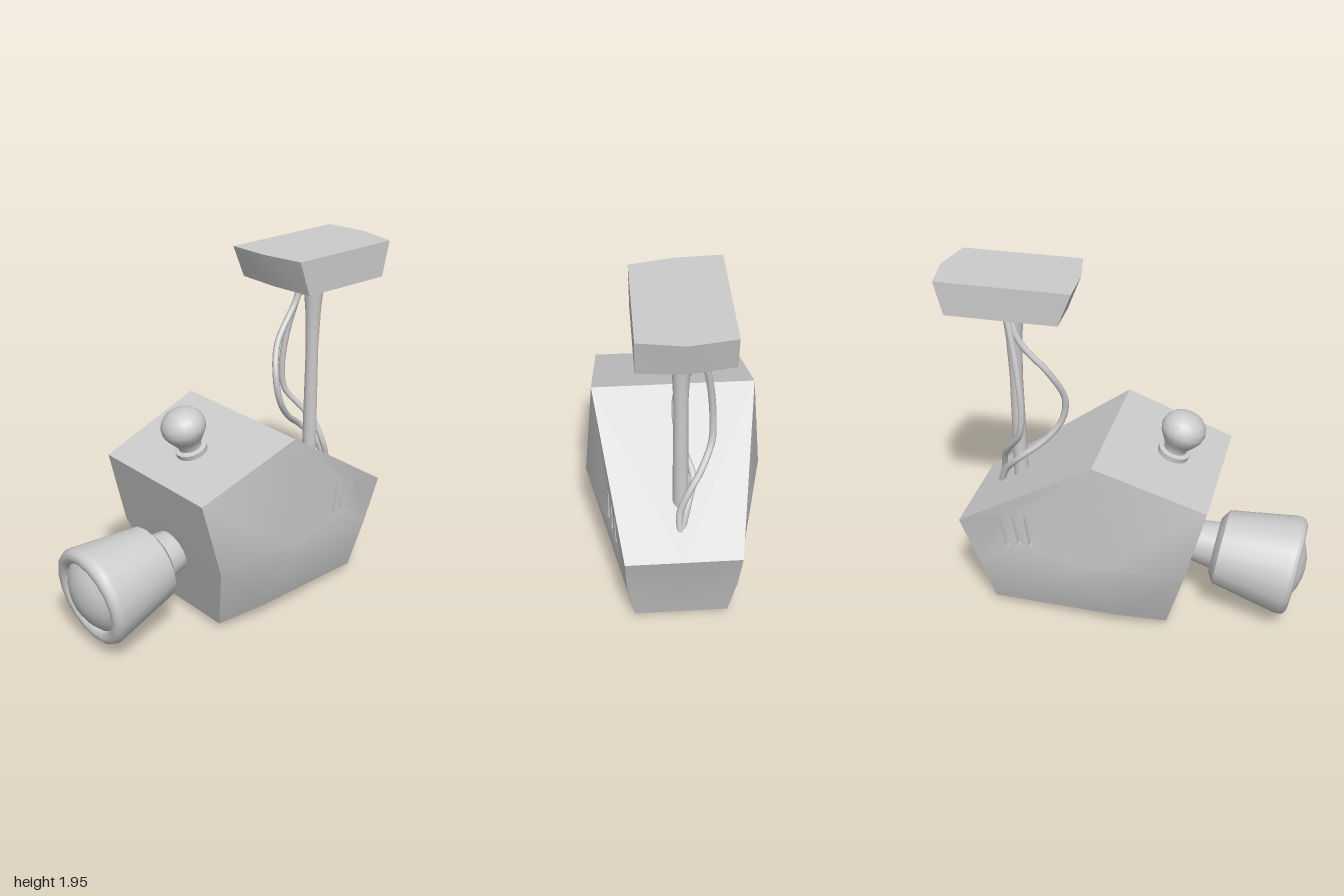
import * as THREE from 'three';
import { toCreasedNormals } from 'three/addons/utils/BufferGeometryUtils.js';

const V = (x, y, z) => new THREE.Vector3(x, y, z);
const material = new THREE.MeshStandardMaterial({ color: 0xcccccc });

function part(parent, name, geometry) {
  const mesh = new THREE.Mesh(geometry, material);
  mesh.name = name;
  parent.add(mesh);
  return mesh;
}

// Corners run anticlockwise seen from outside
function quad(out, a, b, c, d) {
  for (const p of [a, b, c, a, c, d]) out.push(p.x, p.y, p.z);
}

function solid(positions, crease) {
  const g = new THREE.BufferGeometry();
  g.setAttribute('position', new THREE.Float32BufferAttribute(positions, 3));
  return toCreasedNormals(g, crease);
}

function lathe(profile, segments) {
  const pts = profile.map(([r, y]) => new THREE.Vector2(r, y));
  return toCreasedNormals(new THREE.LatheGeometry(pts, segments), 0.7);
}

// Left half of the faceted body, with three vent slots cut in the rear side panel
function halfBody() {
  const out = [];
  // stations front, middle, back; each top, waist, bottom
  const [F, M, B] = [
    [V(0.405, 0.88, 0.5), V(0.42, 0.455, 0.39), V(0.26, 0.03, 0.27)],
    [V(0.435, 1.09, -0.1), V(0.485, 0.49, -0.05), V(0.32, 0.07, 0)],
    [V(0.3, 0.56, -0.9), V(0.29, 0.31, -0.81), V(0.25, 0.03, -0.73)],
  ];
  quad(out, F[0], F[1], M[1], M[0]);
  quad(out, F[1], F[2], M[2], M[1]);
  quad(out, M[1], M[2], B[2], B[1]);

  // front, underside, back and top, out from the centre line
  const rim = [F[0], F[1], F[2], M[2], B[2], B[1], B[0], M[0]];
  rim.forEach((p, i) => {
    const q = rim[(i + 1) % rim.length];
    quad(out, V(0, p.y, p.z), V(0, q.y, q.z), q, p);
  });

  // x on the warped rear panel for a given z and y
  const [a, b, c, d] = [M[0], M[1], B[1], B[0]];
  const n = new THREE.Plane().setFromCoplanarPoints(a, b, d);
  const flat = (z, y) => -(n.constant + n.normal.y * y + n.normal.z * z) / n.normal.x;
  const line = (p, q, z, y) => (q.z - p.z) * (y - p.y) - (q.y - p.y) * (z - p.z);
  const warp = (z, y) => line(a, b, z, y) * line(a, d, z, y);
  const lift = (z, y) => flat(z, y) + (c.x - flat(c.z, c.y)) * warp(z, y) / warp(c.z, c.y);

  const shape = new THREE.Shape([a, b, c, d].map((p) => new THREE.Vector2(-p.z, p.y)));
  // each slot: top z, top y, bottom z, bottom y
  const slots = [[-0.492, 0.69, -0.467, 0.5], [-0.564, 0.67, -0.536, 0.49], [-0.64, 0.645, -0.61, 0.455]];
  for (const [tz, ty, bz, by] of slots) {
    const w = 0.013;
    const ring = [[tz + w, ty + 0.005], [bz + w, by + 0.005], [bz - w, by - 0.005], [tz - w, ty - 0.005]];
    shape.holes.push(new THREE.Path(ring.map(([z, y]) => new THREE.Vector2(-z, y))));
    const outer = ring.map(([z, y]) => V(lift(z, y), y, z));
    const inner = outer.map((p) => V(p.x - 0.03, p.y, p.z));
    outer.forEach((p, i) => {
      const j = (i + 1) % 4;
      quad(out, p, outer[j], inner[j], inner[i]);
    });
    quad(out, ...inner);
  }
  const panel = new THREE.ShapeGeometry(shape).toNonIndexed().attributes.position;
  for (let i = 0; i < panel.count; i++) {
    const z = -panel.getX(i), y = panel.getY(i);
    out.push(lift(z, y), y, z);
  }
  return solid(out, 0.6);
}

// Tapered ceiling plate with a shallow point at the back
function mountPlate() {
  const out = [];
  const xs = [-0.23, 0, 0.23];
  const row = (zs, ys) => zs.map((z, i) => V(xs[i], ys[i], z));
  const top = [1.95, 1.95, 1.95], low = [1.77, 1.765, 1.757];
  const tf = row([-0.24, -0.25, -0.3], top), tb = row([-0.96, -1, -0.96], top);
  const bf = row([-0.315, -0.325, -0.37], low), bb = row([-0.915, -0.95, -0.915], low);
  for (let i = 0; i < 2; i++) {
    quad(out, tf[i], tf[i + 1], tb[i + 1], tb[i]);
    quad(out, bb[i], bb[i + 1], bf[i + 1], bf[i]);
    quad(out, tf[i], bf[i], bf[i + 1], tf[i + 1]);
    quad(out, tb[i + 1], bb[i + 1], bb[i], tb[i]);
  }
  quad(out, tf[2], bf[2], bb[2], tb[2]);
  quad(out, tb[0], bb[0], bf[0], tf[0]);
  return solid(out, 0.6);
}

export function createModel() {
  const model = new THREE.Group();
  model.name = 'ceilingCamera';

  // Body
  const body = halfBody();
  part(model, 'bodyLeft', body);
  part(model, 'bodyRight', body).scale.x = -1;

  // Lens, tipped slightly downward
  const lens = new THREE.Group();
  lens.name = 'lens';
  lens.position.set(0, 0.4, 0.525);
  lens.rotation.x = Math.PI / 2 + 0.16;
  model.add(lens);
  part(lens, 'lensNeck', lathe([[0.105, -0.22], [0.135, -0.03]], 16));
  part(lens, 'lensHousing', lathe([
    [0.1, -0.035], [0.155, -0.035], [0.21, 0], [0.276, 0.365], [0.278, 0.395],
    [0.268, 0.42], [0.248, 0.432], [0.222, 0.43], [0.205, 0.415], [0.2, 0.385],
  ], 18));
  part(lens, 'lensGlass', lathe([
    [0.202, 0.4], [0.16, 0.435], [0.11, 0.46], [0.055, 0.475], [0, 0.48],
  ], 18));

  // Knob standing square on the sloping top
  const knob = part(model, 'knob', lathe([
    [0.085, -0.02], [0.088, 0.03], [0.064, 0.036], [0.064, 0.055], [0.092, 0.1], [0.116, 0.14],
    [0.122, 0.17], [0.113, 0.205], [0.09, 0.235], [0.05, 0.257], [0, 0.264],
  ], 18));
  knob.position.set(0, 0.971, 0.24);
  knob.rotation.x = 0.337;

  // Hanging pole and ceiling plate
  const pole = part(model, 'pole', lathe([
    [0.042, 0.66], [0.038, 1.1], [0.036, 1.35], [0.045, 1.58], [0.057, 1.7], [0.064, 1.78],
  ], 12));
  pole.position.z = -0.623;
  part(model, 'mountPlate', mountPlate());

  // Cables
  const cables = {
    frontCable: [
      V(-0.06, 1.78, -0.63), V(-0.09, 1.6, -0.57), V(-0.06, 1.4, -0.415), V(0, 1.23, -0.355),
      V(0.01, 1.09, -0.38), V(-0.02, 0.97, -0.47), V(-0.065, 0.87, -0.6), V(-0.03, 0.76, -0.7), V(0, 0.64, -0.745),
    ],
    sideCable: [
      V(-0.08, 1.78, -0.64), V(-0.115, 1.6, -0.6), V(-0.15, 1.4, -0.565), V(-0.166, 1.2, -0.55),
      V(-0.16, 1.07, -0.57), V(-0.1, 0.95, -0.65), V(-0.04, 0.86, -0.7), V(0.01, 0.74, -0.725), V(0.01, 0.64, -0.755),
    ],
  };
  for (const [name, pts] of Object.entries(cables)) {
    part(model, name, new THREE.TubeGeometry(new THREE.CatmullRomCurve3(pts), 48, 0.018, 8));
  }

  // Round bolt heads under the body and the plate
  const bolt = new THREE.SphereGeometry(0.034, 12, 8);
  const rows = [['bodyBolt', 0.037, 0.185], ['bodyBolt', 0.028, -0.65], ['mountBolt', 1.769, -0.405], ['mountBolt', 1.763, -0.865]];
  for (const [name, y, z] of rows) {
    for (const x of [-0.15, 0.15]) {
      const b = part(model, name, bolt);
      b.position.set(x, y, z);
      b.scale.y = 0.82;
    }
  }
  return model;
}
